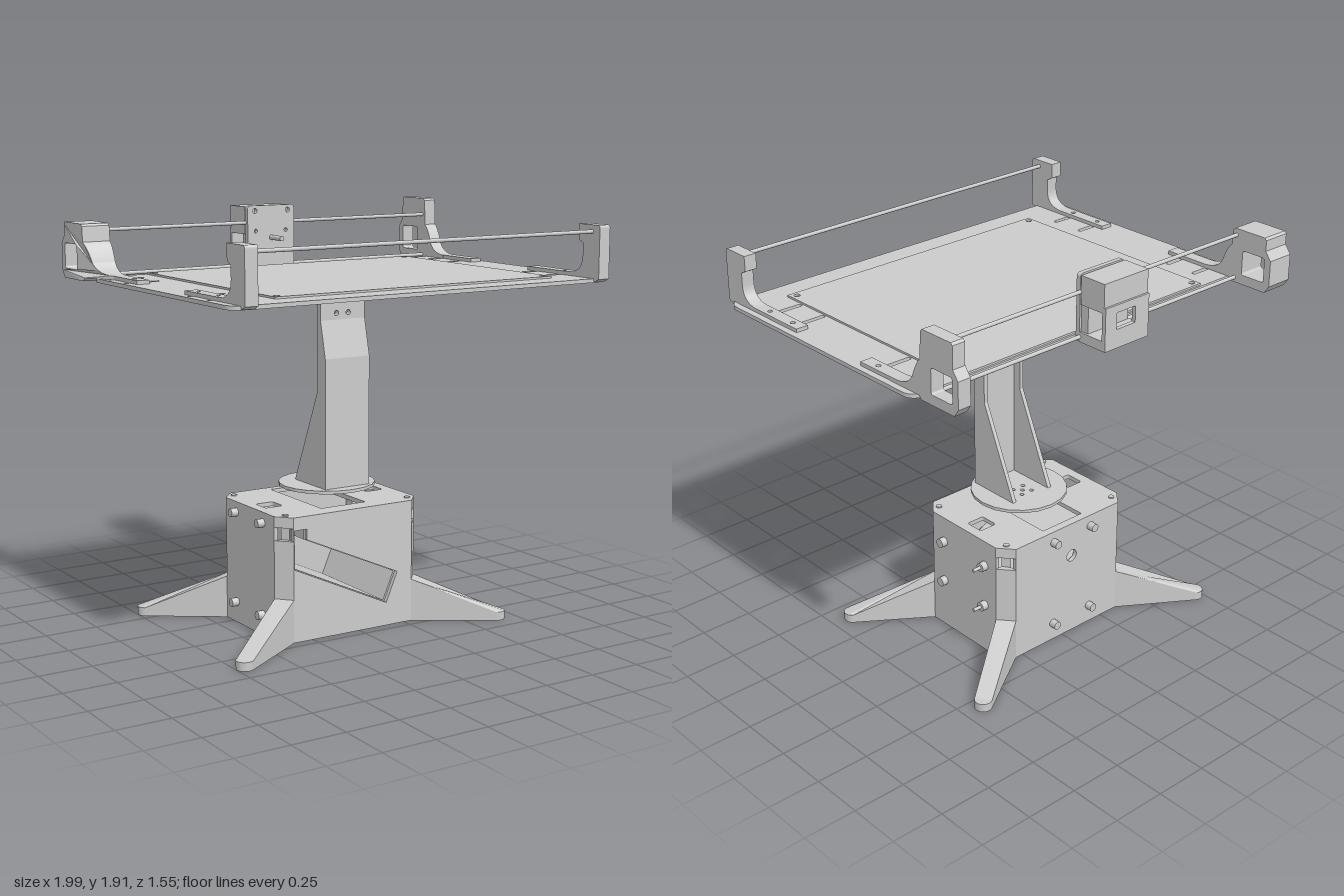
import * as THREE from 'three';

const mat = new THREE.MeshStandardMaterial({ color: 0xcccccc });
const V = (x, y) => new THREE.Vector2(x, y);

function add(parent, name, geo, x = 0, y = 0, z = 0) {
  const m = new THREE.Mesh(geo, mat);
  m.name = name;
  m.position.set(x, y, z);
  parent.add(m);
  return m;
}
const poly = (pts) => new THREE.Shape(pts.map((p) => V(p[0], p[1])));
function rect(x0, y0, x1, y1, r = 0) {
  if (!r) return poly([[x0, y0], [x1, y0], [x1, y1], [x0, y1]]);
  const s = new THREE.Shape();
  s.absarc(x1 - r, y1 - r, r, 0, Math.PI / 2);
  s.absarc(x0 + r, y1 - r, r, Math.PI / 2, Math.PI);
  s.absarc(x0 + r, y0 + r, r, Math.PI, Math.PI * 1.5);
  s.absarc(x1 - r, y0 + r, r, Math.PI * 1.5, Math.PI * 2);
  return s;
}
const circle = (x, y, r) => new THREE.Shape().absarc(x, y, r, 0, Math.PI * 2);
function cut(shape, ...holes) { shape.holes.push(...holes); return shape; }
const extrude = (s, depth) => new THREE.ExtrudeGeometry(s, { depth, bevelEnabled: false, curveSegments: 10 });
// outline in (x, z), raised from y0 to y1
const plan = (s, y0, y1) => extrude(s, y1 - y0).rotateX(Math.PI / 2).translate(0, y1, 0);
// outline in (z, y), spanning x0 to x1
const side = (s, x0, x1) => extrude(s, x1 - x0).rotateY(-Math.PI / 2).translate(x1, 0, 0);
// outline in (x, y), spanning z0 to z1
const front = (s, z0, z1) => extrude(s, z1 - z0).translate(0, 0, z0);
const box = (x0, y0, z0, x1, y1, z1) =>
  new THREE.BoxGeometry(x1 - x0, y1 - y0, z1 - z0).translate((x0 + x1) / 2, (y0 + y1) / 2, (z0 + z1) / 2);
const rodX = (r, len) => new THREE.CylinderGeometry(r, r, len, 16).rotateZ(Math.PI / 2);
const rodZ = (r, len) => new THREE.CylinderGeometry(r, r, len, 16).rotateX(Math.PI / 2);

function buildBase() {
  const g = new THREE.Group();
  g.name = 'base';
  g.position.set(-0.03, 0, -0.09);

  // walls, with a slanted chute opening in the front
  const slot = [[-0.315, 0.52], [-0.25, 0.52], [-0.25, 0.47], [0.24, 0.25], [0.18, 0.11], [-0.315, 0.34]];
  add(g, 'frontWall', front(cut(rect(-0.32, 0, 0.32, 0.57), poly(slot)), 0.27, 0.29));
  add(g, 'backWall', front(cut(rect(-0.32, 0, 0.32, 0.57), circle(-0.025, 0.41, 0.03)), -0.29, -0.27));
  for (const s of [-1, 1]) add(g, 'sideWall', box(-0.01, 0, -0.22, 0.01, 0.57, 0.22), s * 0.37);
  add(g, 'floor', box(-0.37, 0, -0.27, 0.37, 0.01, 0.27));
  slot.forEach((a, i) => {
    const b = slot[(i + 1) % slot.length];
    const dx = b[0] - a[0], dy = b[1] - a[1];
    const m = add(g, 'chuteWall', new THREE.BoxGeometry(Math.hypot(dx, dy), 0.008, 0.53),
      (a[0] + b[0]) / 2, (a[1] + b[1]) / 2, 0);
    m.rotation.z = Math.atan2(dy, dx);
  });

  // top plate
  add(g, 'topPlate', plan(cut(
    poly([[-0.38, -0.22], [-0.32, -0.29], [0.32, -0.29], [0.38, -0.22],
      [0.38, 0.22], [0.32, 0.29], [-0.32, 0.29], [-0.38, 0.22]]),
    rect(-0.12, -0.25, 0.12, 0.2), rect(-0.33, -0.03, -0.24, 0.06, 0.01), rect(0.24, -0.06, 0.33, 0.03, 0.01)), 0.56, 0.58));

  // corner posts with a notch near the top, corner screws and splayed legs
  for (const sx of [-1, 1]) for (const sz of [-1, 1]) {
    const m = (pts) => poly(pts.map(([x, z]) => [x * sx, z * sz]));
    const full = [[0.32, 0.29], [0.38, 0.22], [0.32, 0.22]];
    add(g, 'cornerPost', plan(m(full), 0, 0.47));
    add(g, 'cornerNotch', plan(m([[0.32, 0.255], [0.345, 0.22], [0.32, 0.22]]), 0.47, 0.53));
    add(g, 'cornerCap', plan(m(full), 0.53, 0.57));
    add(g, 'cornerScrew', new THREE.CylinderGeometry(0.014, 0.014, 0.008, 12), sx * 0.33, 0.582, sz * 0.235);

    const pts = [[0.32, 0.29], [0.38, 0.22]];
    for (let i = 0; i <= 10; i++) {
      const a = 0.588 - Math.PI / 2 + (Math.PI * i) / 10;
      pts.push([0.68 + 0.04 * Math.cos(a), 0.475 + 0.04 * Math.sin(a)]);
    }
    const leg = plan(m(pts), 0, 0.2);
    const p = leg.attributes.position;
    for (let i = 0; i < p.count; i++) if (p.getY(i) > 0.1 && Math.abs(p.getX(i)) > 0.4) p.setY(i, 0.04);
    leg.computeVertexNormals();
    add(g, 'leg', leg);
  }

  // screw heads on the sides and back
  for (const z of [-0.145, 0.14]) {
    for (const y of [0.245, 0.455]) {
      add(g, 'sideScrew', rodX(0.022, 0.03), 0.395, y, z);
      if (z < 0) add(g, 'screwTip', rodX(0.008, 0.04), 0.43, y, z);
    }
    for (const y of [0.1, 0.53]) add(g, 'sideScrew', rodX(0.02, 0.035), -0.397, y, z * 0.85);
  }
  for (const x of [-0.14, 0.09]) for (const y of [0.09, 0.525])
    add(g, 'backScrew', rodZ(0.02, 0.035), x, y, -0.307);
  return g;
}

function buildColumn() {
  const g = new THREE.Group();
  g.name = 'column';
  // turntable
  const holes = [[-0.03, -0.13], [0.03, -0.13], [-0.03, -0.07], [0.03, -0.07], [0, -0.1]].map(([x, z]) => circle(x, z, 0.01));
  add(g, 'turntable', plan(cut(new THREE.Shape().absarc(-0.01, -0.065, 0.225, 0, Math.PI * 2), ...holes), 0.645, 0.66));
  // stepped front plate
  add(g, 'columnPlate', side(poly([[0.1, 0.65], [0.1, 1.26], [0.06, 1.43], [0.03, 1.43], [0.07, 1.26], [0.07, 0.65]]), -0.12, 0.117));
  const bolts = [];
  for (const x of [-0.035, 0.028]) for (const y of [1.46, 1.525]) bolts.push(circle(x, y, 0.012));
  add(g, 'columnHead', front(cut(rect(-0.12, 1.43, 0.117, 1.56), ...bolts), 0.03, 0.06));
  // side gussets
  const gusset = [[0.09, 0.65], [0.09, 1.26], [0.05, 1.43], [0.03, 1.43], [0.03, 1.1], [-0.17, 0.65]];
  for (const x of [-0.12, 0.097]) add(g, 'gusset', side(poly(gusset), x, x + 0.02));
  return g;
}

function buildTray() {
  const g = new THREE.Group();
  g.name = 'tray';
  g.rotation.y = 0.01;

  // tray with adjustment slots and a recess under the panel
  const tray = cut(rect(-0.96, -0.53, 0.985, 0.73, 0.06), rect(-0.62, -0.44, 0.68, 0.53, 0.05));
  for (const z of [-0.405, -0.245, 0.335, 0.5])
    cut(tray, rect(-0.94, z - 0.011, -0.765, z + 0.011, 0.0109), rect(0.76, z - 0.011, 0.95, z + 0.011, 0.0109));
  add(g, 'trayPlate', plan(tray, 1.603, 1.621));
  const corners = [];
  for (const x of [-0.665, 0.725]) for (const z of [-0.49, 0.58]) corners.push(circle(x, z, 0.014));
  add(g, 'panel', plan(cut(rect(-0.69, -0.52, 0.755, 0.61), ...corners), 1.62, 1.63));

  // bracket feet and front brackets
  for (const x of [-0.89, 0.925]) {
    const foot = (z0, z1, h) => add(g, 'bracketFoot',
      plan(cut(rect(x - 0.03, z0, x + 0.03, z1), ...h.map((z) => circle(x, z, 0.011))), 1.619, 1.638));
    foot(0.27, 0.66, [0.335, 0.5]);
    foot(-0.46, -0.165, [-0.405, -0.245]);

    const s = new THREE.Shape();
    s.moveTo(0.735, 1.605).lineTo(0.765, 1.62).lineTo(0.765, 1.845);
    s.quadraticCurveTo(0.765, 1.86, 0.75, 1.86).lineTo(0.625, 1.86).lineTo(0.625, 1.79);
    s.lineTo(0.655, 1.775).lineTo(0.655, 1.72).quadraticCurveTo(0.655, 1.645, 0.57, 1.638);
    s.lineTo(0.57, 1.621).lineTo(0.73, 1.621);
    add(g, 'frontBracket', side(s, x - 0.03, x + 0.03));
  }

  // back brackets: a windowed frame with a curved arm down to the foot
  const backBracket = (top) => {
    const s = new THREE.Shape();
    s.moveTo(-0.39, 1.621).lineTo(-0.39, 1.638).quadraticCurveTo(-0.47, 1.64, -0.495, 1.69);
    s.quadraticCurveTo(-0.52, 1.76, -0.545, 1.78).lineTo(-0.55, top - 0.01).lineTo(-0.56, top);
    s.lineTo(-0.73, top).lineTo(-0.74, top - 0.01).lineTo(-0.74, 1.8).lineTo(-0.77, 1.76);
    s.lineTo(-0.77, 1.64).lineTo(-0.745, 1.605).lineTo(-0.55, 1.605).lineTo(-0.535, 1.621);
    return cut(s, rect(-0.735, 1.65, -0.61, 1.765, 0.01));
  };
  add(g, 'rightEndBracket', side(backBracket(1.91), 0.892, 0.955));
  const wide = side(backBracket(1.86), -0.92, -0.86);
  const p = wide.attributes.position;
  for (let i = 0; i < p.count; i++) if (p.getX(i) < -0.9)
    p.setX(i, -0.92 - 0.075 * THREE.MathUtils.clamp((-0.39 - p.getZ(i)) / 0.15, 0, 1));
  wide.computeVertexNormals();
  add(g, 'wideEndBracket', wide);

  // guide rods
  add(g, 'backRod', rodX(0.009, 1.78), 0.015, 1.83, -0.57);
  add(g, 'lowerRod', rodX(0.009, 1.78), 0.015, 1.628, -0.57);
  add(g, 'frontRod', rodX(0.009, 1.82), 0.015, 1.83, 0.715);

  // carriage: hollow block with faceplate, back window and shaft
  const c = new THREE.Group();
  c.name = 'carriage';
  g.add(c);
  const x0 = -0.14, x1 = 0.116;
  const screws = [[-0.1, 1.885, 0.012], [0.08, 1.885, 0.012], [-0.095, 1.79, 0.009], [0.07, 1.79, 0.009]];
  add(c, 'facePlate', front(cut(rect(x0, 1.6, x1, 1.91, 0.015), ...screws.map((s) => circle(...s))), -0.57, -0.548));
  add(c, 'upperBlock', box(x0, 1.775, -0.71, x1, 1.905, -0.575));
  add(c, 'lowerBlock', box(x0, 1.605, -0.715, x1, 1.65, -0.57));
  add(c, 'innerBlock', box(x0 + 0.01, 1.64, -0.61, x1 - 0.01, 1.78, -0.57));
  add(c, 'backPanel', front(cut(rect(x0, 1.605, x1, 1.8), rect(-0.06, 1.69, 0.05, 1.765)), -0.72, -0.7));
  add(c, 'shaft', rodZ(0.012, 0.12), -0.01, 1.757, -0.51);
  return g;
}

export function createModel() {
  const model = new THREE.Group();
  model.name = 'trayStand';
  model.add(buildBase(), buildColumn(), buildTray());
  return model;
}
